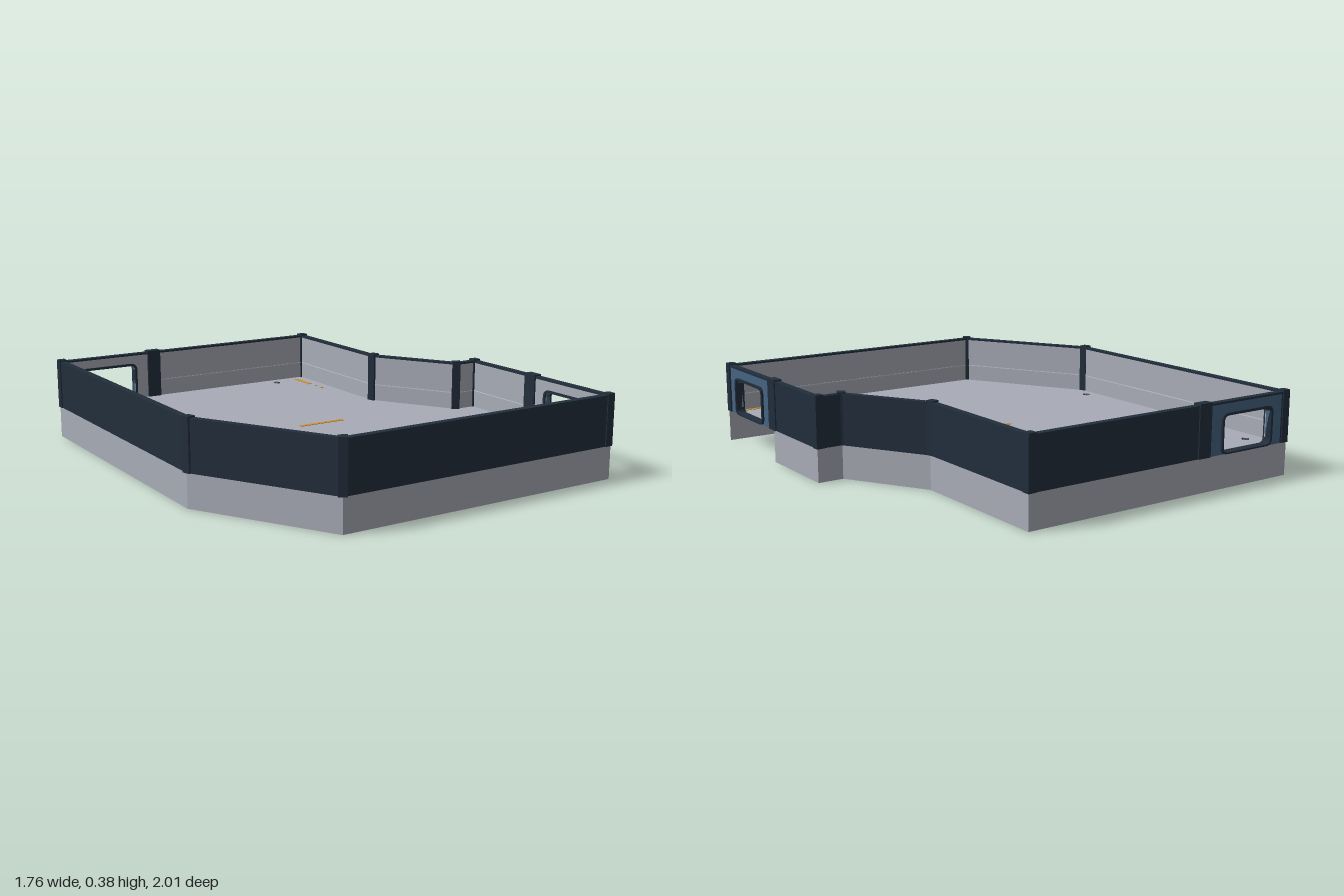
import * as THREE from 'three';

const material = (name, color, side = THREE.FrontSide) => {
  const m = new THREE.MeshStandardMaterial({ color, side });
  m.name = name;
  return m;
};

const FLOOR_Y = 0.15, WALL_H = 0.225, WALL_T = 0.022;
const DOOR_HALF = 0.21, HOLE_HALF = 0.14, HOLE_H = 0.168;

// Outline as [x, z], running so that each edge's local +z points outward
const outline = [
  [-0.525, 0.995], [0.865, 0.995], [0.865, 0.065], [0.745, 0.065],
  [0.525, -0.30], [0.525, -0.99], [-0.875, -0.99], [-0.875, 0.39],
];
// Doors by edge: centre along the edge, side of the extra post, start of the skirt
const doors = {
  1: { at: 0.25, post: 0.495, skirtStart: 0.505 },
  5: { at: 1.15, post: 0.905, skirtStart: 0 },
};

function roundedRect(PathType, x0, y0, x1, y1, r) {
  const p = new PathType();
  p.moveTo(x0 + r, y0);
  p.lineTo(x1 - r, y0);
  p.quadraticCurveTo(x1, y0, x1, y0 + r);
  p.lineTo(x1, y1 - r);
  p.quadraticCurveTo(x1, y1, x1 - r, y1);
  p.lineTo(x0 + r, y1);
  p.quadraticCurveTo(x0, y1, x0, y1 - r);
  p.lineTo(x0, y0 + r);
  p.quadraticCurveTo(x0, y0, x0 + r, y0);
  return p;
}

export function createModel() {
  const root = new THREE.Group();
  root.name = 'walledRoom';

  const grey = material('panelGrey', 0xa8acb6, THREE.DoubleSide);
  const navy = material('wallNavy', 0x222e3c);
  const blue = material('doorBlue', 0x456482);
  const orange = material('markingOrange', 0xcc8c28);
  const pale = material('stripePale', 0xc2c6ce);
  const dark = material('ventGrey', 0x50545e);

  const add = (parent, name, geometry, mat, x = 0, y = 0, z = 0) => {
    const mesh = new THREE.Mesh(geometry, mat);
    mesh.name = name;
    mesh.position.set(x, y, z);
    parent.add(mesh);
    return mesh;
  };
  const box = (parent, name, mat, w, h, d, x, y, z) =>
    add(parent, name, new THREE.BoxGeometry(w, h, d), mat, x, y, z);

  // Floor slab surface
  const floorShape = new THREE.Shape(outline.map(([x, z]) => new THREE.Vector2(x, -z)));
  add(root, 'floor', new THREE.ShapeGeometry(floorShape), grey, 0, FLOOR_Y, 0).rotation.x = -Math.PI / 2;

  // Door panel with an open, framed hatch; local origin is the door's foot
  function addDoor(wall, at) {
    const door = new THREE.Group();
    door.name = 'door';
    door.position.set(at, FLOOR_Y, 0);
    wall.add(door);

    const panel = new THREE.Shape();
    panel.moveTo(-DOOR_HALF, 0);
    panel.lineTo(DOOR_HALF, 0);
    panel.lineTo(DOOR_HALF, WALL_H);
    panel.lineTo(-DOOR_HALF, WALL_H);
    panel.holes.push(roundedRect(THREE.Path, -HOLE_HALF, 0.006, HOLE_HALF, HOLE_H, 0.025));
    const extrude = (shape, depth) =>
      new THREE.ExtrudeGeometry(shape, { depth, bevelEnabled: false, curveSegments: 5 });
    add(door, 'doorPanel', extrude(panel, WALL_T), blue, 0, 0, -WALL_T);
    add(door, 'doorLining', extrude(panel, 0.004), grey, 0, 0, -WALL_T - 0.004);

    const frame = roundedRect(THREE.Shape, -HOLE_HALF - 0.011, 0.001, HOLE_HALF + 0.011, HOLE_H + 0.011, 0.034);
    frame.holes.push(roundedRect(THREE.Path, -HOLE_HALF, 0.008, HOLE_HALF, HOLE_H, 0.025));
    add(door, 'doorFrame', extrude(frame, 0.044), navy, 0, 0, -0.034);
  }

  // Walls and skirts, one group per edge of the outline
  const edges = outline.map(([x, z], i) => {
    const [bx, bz] = outline[(i + 1) % outline.length];
    const angle = Math.atan2(z - bz, bx - x);
    return { x, z, angle, length: Math.hypot(bx - x, bz - z), nx: Math.sin(angle), nz: Math.cos(angle) };
  });

  edges.forEach((e, i) => {
    const wall = new THREE.Group();
    wall.name = 'wall';
    wall.position.set(e.x, 0, e.z);
    wall.rotation.y = e.angle;
    root.add(wall);

    const door = doors[i];
    const start = door ? door.skirtStart : 0;
    add(wall, 'skirt', new THREE.PlaneGeometry(e.length - start, FLOOR_Y), grey,
      (start + e.length) / 2, FLOOR_Y / 2, 0);

    const spans = door
      ? [[0, door.at - DOOR_HALF], [door.at + DOOR_HALF, e.length]]
      : [[0, e.length]];
    for (const [a, b] of spans) {
      const mid = (a + b) / 2, midY = FLOOR_Y + WALL_H / 2;
      box(wall, 'outerWall', navy, b - a, WALL_H, WALL_T, mid, midY, -WALL_T / 2);
      box(wall, 'innerLining', grey, b - a, WALL_H, 0.004, mid, midY, -WALL_T - 0.002);
      box(wall, 'liningStripe', pale, b - a, 0.004, 0.001, mid, 0.23, -WALL_T - 0.0045);
    }
    box(wall, 'wallCap', navy, e.length, 0.009, 0.031, e.length / 2, 0.3735, -0.0135);

    if (door) {
      addDoor(wall, door.at);
      box(wall, 'doorPost', navy, 0.068, 0.235, 0.04, door.post, FLOOR_Y + 0.1175, -0.014);
    }
  });

  // Corner posts, squared to right angles and turned halfway at the slanted bends
  edges.forEach((e, i) => {
    const p = edges[(i + edges.length - 1) % edges.length];
    const dot = e.nx * p.nx + e.nz * p.nz;
    const k = 0.014 / (1 + dot);
    const post = box(root, 'cornerPost', navy, 0.038, 0.235, 0.038,
      e.x - (e.nx + p.nx) * k, FLOOR_Y + 0.1175, e.z - (e.nz + p.nz) * k);
    post.rotation.y = Math.abs(dot) < 0.1 ? e.angle : Math.atan2(e.nx + p.nx, e.nz + p.nz);
  });

  // Floor markings: x, z, width, depth
  const markings = [[0.028, -0.02, 0.235, 0.02], [0.437, -0.845, 0.02, 0.14],
    [0.437, -0.72, 0.018, 0.008], [0.437, -0.665, 0.022, 0.012]];
  for (const z of [0.512, 0.95]) {
    markings.push([0.75, z, 0.165, 0.02], [0.616, z, 0.018, 0.016], [0.556, z, 0.024, 0.018]);
  }
  for (const [x, z, w, d] of markings) {
    box(root, 'floorMarking', orange, w, 0.002, d, x, FLOOR_Y + 0.001, z);
  }

  // Small floor vents: a half disc above narrowing slots
  for (const [x, z] of [[-0.765, -0.855], [0.305, -0.90], [-0.79, 0.285]]) {
    const vent = new THREE.Group();
    vent.name = 'floorVent';
    vent.position.set(x, FLOOR_Y + 0.001, z);
    root.add(vent);
    add(vent, 'ventDome', new THREE.CylinderGeometry(0.014, 0.014, 0.002, 12, 1, false, Math.PI / 2, Math.PI), dark, 0, 0, -0.004);
    [0.04, 0.026, 0.012].forEach((w, n) =>
      box(vent, 'ventSlot', dark, w, 0.002, 0.004, 0, 0, n * 0.009));
  }

  return root;
}
